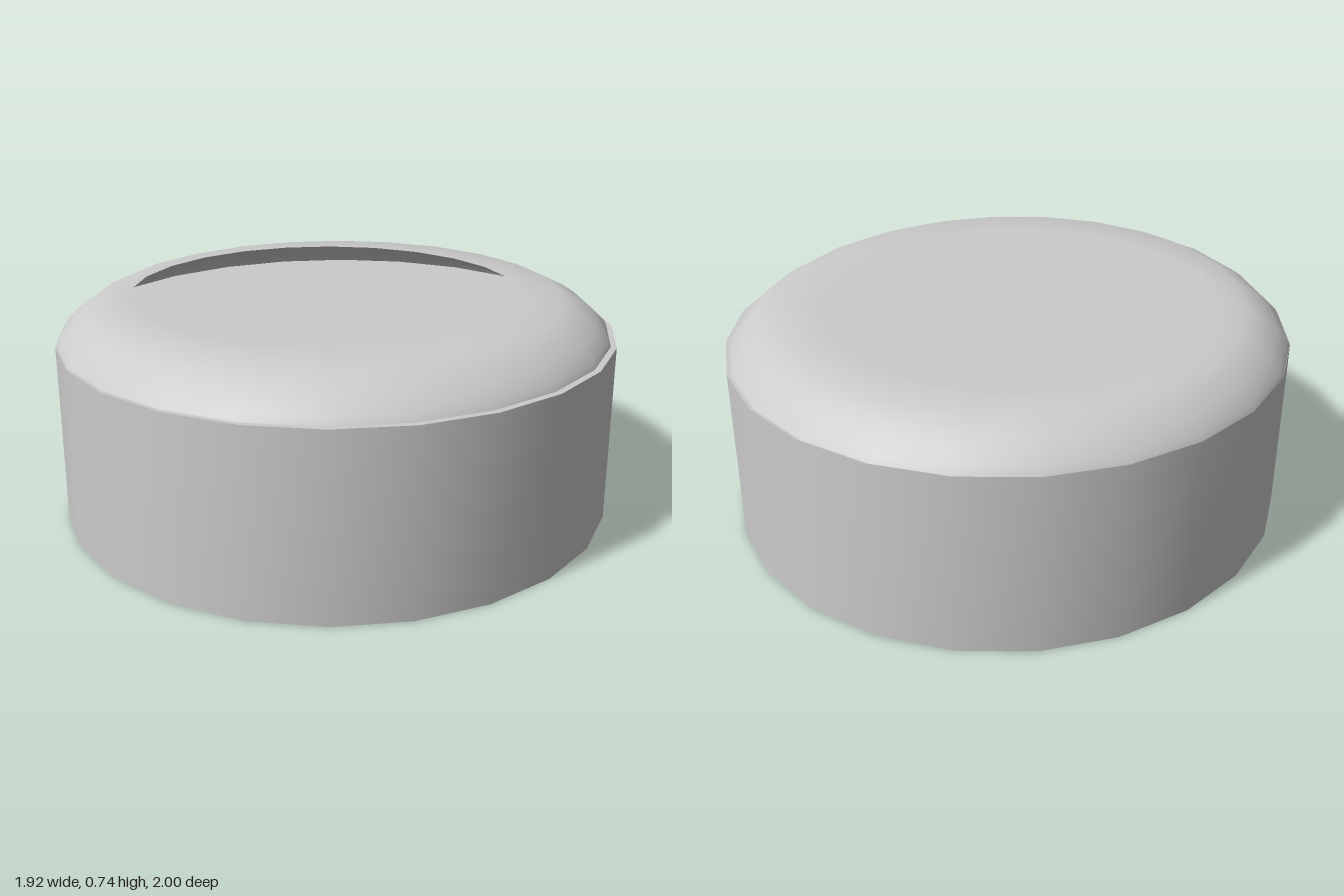
import * as THREE from 'three';
import { toCreasedNormals } from 'three/addons/utils/BufferGeometryUtils.js';

const SIDES = 24;

// Skin a stack of elliptical rings [y, radiusX, radiusZ, centreX, centreZ].
function loft(rings) {
  const positions = [];
  const indices = [];
  for (const [y, rx, rz, cx = 0, cz = 0] of rings) {
    for (let j = 0; j < SIDES; j++) {
      const a = (j / SIDES) * Math.PI * 2;
      positions.push(cx + rx * Math.sin(a), y, cz + rz * Math.cos(a));
    }
  }
  for (let i = 0; i < rings.length - 1; i++) {
    for (let j = 0; j < SIDES; j++) {
      const k = (j + 1) % SIDES;
      const a = i * SIDES + j, b = i * SIDES + k;
      const c = b + SIDES, d = a + SIDES;
      if (rings[i][1] > 0) indices.push(a, b, c);
      if (rings[i + 1][1] > 0) indices.push(a, c, d);
    }
  }
  const geometry = new THREE.BufferGeometry();
  geometry.setAttribute('position', new THREE.Float32BufferAttribute(positions, 3));
  geometry.setIndex(indices);
  return toCreasedNormals(geometry, 0.7);
}

export function createModel() {
  const group = new THREE.Group();
  const add = (name, rings, side) => {
    const material = new THREE.MeshStandardMaterial({ color: 0xcccccc, side });
    const mesh = new THREE.Mesh(loft(rings), material);
    mesh.name = name;
    group.add(mesh);
  };

  // Straight-walled solid drum, closed at both ends
  add('body', [
    [0, 0, 0],
    [0, 0.96, 1],
    [0.615, 0.96, 1],
    [0.615, 0, 0],
  ], THREE.FrontSide);

  // Thin rounded rim shell with a round opening that shows the drum's top
  add('rim', [
    [0.615, 0.95, 0.99, -0.01, -0.008],
    [0.635, 0.94, 0.975, -0.01, -0.008],
    [0.675, 0.9, 0.93, -0.012, -0.01],
    [0.705, 0.855, 0.885, -0.014, -0.01],
    [0.733, 0.795, 0.825, -0.016, -0.012],
    [0.735, 0.685, 0.685, -0.05, -0.025],
  ], THREE.DoubleSide);

  return group;
}
